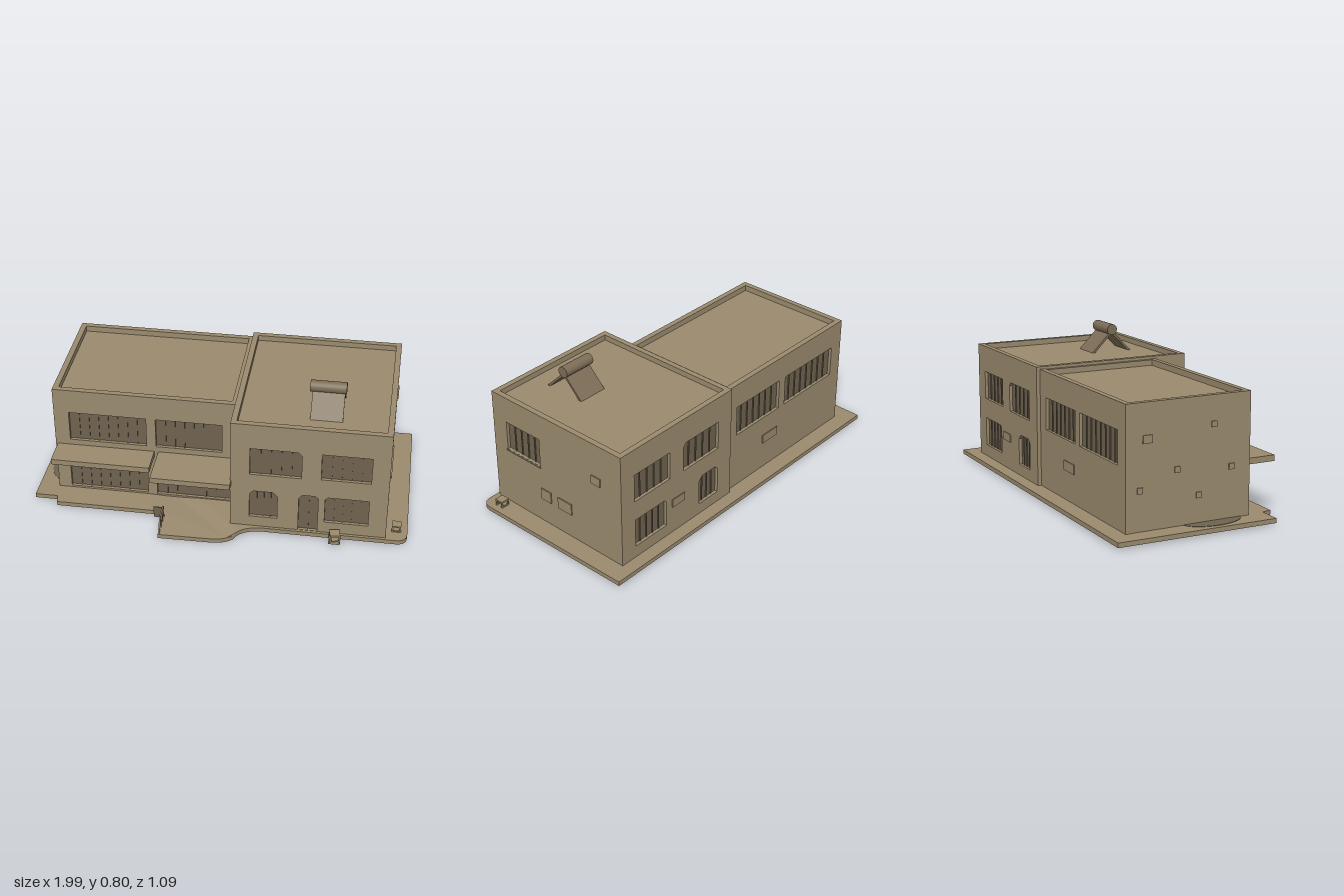
import * as THREE from 'three';

const wallMat = new THREE.MeshStandardMaterial({ color: 0x9a8a6e });
const glassMat = new THREE.MeshStandardMaterial({ color: 0x6f634f });
const signMat = new THREE.MeshStandardMaterial({ color: 0x7c6d56 });
wallMat.name = 'tan plaster';
glassMat.name = 'dark glass';
signMat.name = 'brown board';

const T = 0.03; // wall thickness
const BASE = 0.03; // top of the ground slab

function add(parent, name, geo, mat, x = 0, y = 0, z = 0) {
  const m = new THREE.Mesh(geo, mat);
  m.name = name;
  m.position.set(x, y, z);
  parent.add(m);
  return m;
}

// box given by its limits on each axis
function block(parent, name, mat, x0, x1, y0, y1, z0, z1) {
  return add(parent, name, new THREE.BoxGeometry(x1 - x0, y1 - y0, z1 - z0), mat,
    (x0 + x1) / 2, (y0 + y1) / 2, (z0 + z1) / 2);
}

// square bar between two points
function bar(parent, name, a, b, r = 0.004, mat = wallMat) {
  const p = new THREE.Vector3(...a), q = new THREE.Vector3(...b);
  const m = add(parent, name, new THREE.BoxGeometry(2 * r, p.distanceTo(q), 2 * r), mat);
  m.position.copy(p).lerp(q, 0.5);
  m.quaternion.setFromUnitVectors(new THREE.Vector3(0, 1, 0), q.sub(p).normalize());
}

// opening: limits, corner cuts at the top left and right, and number of panes
const hole = (u0, u1, v0, v1, panes = 4, cutL = 0, cutR = 0) => ({ u0, u1, v0, v1, panes, cutL, cutR });
const flip = (h) => hole(-h.u1, -h.u0, h.v0, h.v1, h.panes, h.cutR, h.cutL);

function outline(h, PathType) {
  const p = new PathType();
  p.moveTo(h.u0, h.v0);
  p.lineTo(h.u1, h.v0);
  p.lineTo(h.u1, h.v1 - h.cutR);
  if (h.cutR) p.lineTo(h.u1 - h.cutR, h.v1);
  p.lineTo(h.u0 + h.cutL, h.v1);
  if (h.cutL) p.lineTo(h.u0, h.v1 - h.cutL);
  p.closePath();
  return p;
}

// wall with recessed windows; its outer face lies at local z = 0
function facade(parent, name, u0, u1, top, holes, x, z, turn) {
  const g = new THREE.Group();
  g.name = name;
  const shape = outline(hole(u0, u1, BASE, top), THREE.Shape);
  shape.holes = holes.map((h) => outline(h, THREE.Path));
  add(g, 'wall', new THREE.ExtrudeGeometry(shape, { depth: T, bevelEnabled: false }), wallMat, 0, 0, -T);
  for (const h of holes) {
    add(g, 'windowGlass', new THREE.ShapeGeometry(outline(h, THREE.Shape)), glassMat, 0, 0, -0.017);
    for (let i = 1; i < h.panes; i++) {
      const u = h.u0 + ((h.u1 - h.u0) * i) / h.panes;
      block(g, 'mullion', glassMat, u - 0.003, u + 0.003, h.v0, h.v1 - Math.max(h.cutL, h.cutR) * 0.5, -0.018, -0.012);
    }
  }
  g.position.set(x, 0, z);
  g.rotation.y = turn;
  parent.add(g);
  return g;
}

// shallow vent plates on a wall, [u0, u1, v0, v1]
function vents(wall, list) {
  for (const [a, b, c, d] of list) block(wall, 'ventPlate', wallMat, a, b, c, d, -0.002, 0.006);
}

// small open stool made of bars
function stool(parent, name, x, y, z, w, h, turn) {
  const g = new THREE.Group();
  g.name = name;
  const r = w / 2;
  for (const sx of [-r, r]) for (const sz of [-r, r]) bar(g, 'leg', [sx, 0, sz], [sx, h, sz]);
  block(g, 'seat', wallMat, -r - 0.004, r + 0.004, h - 0.006, h + 0.003, -r - 0.004, r + 0.004);
  for (const s of [-r, r]) bar(g, 'footBar', [-r, 0.006, s], [r, 0.006, s]);
  g.position.set(x, y, z);
  g.rotation.y = turn;
  parent.add(g);
}

export function createModel() {
  const model = new THREE.Group();
  model.name = 'building';

  // ground slab with curved porch (drawn in x, -z)
  const s = new THREE.Shape();
  s.moveTo(-0.99, 0.55);
  s.lineTo(-1.0, -0.31);
  s.lineTo(-0.88, -0.31);
  s.lineTo(-0.87, -0.36);
  s.lineTo(-0.29, -0.36);
  s.lineTo(-0.29, -0.54);
  s.lineTo(0.0, -0.535);
  s.bezierCurveTo(0.14, -0.52, 0.08, -0.43, 0.24, -0.42);
  s.lineTo(0.93, -0.42);
  s.quadraticCurveTo(0.99, -0.42, 0.99, -0.36);
  s.lineTo(0.98, 0.55);
  s.closePath();
  const slab = new THREE.ExtrudeGeometry(s, { depth: 0.024, bevelEnabled: false, curveSegments: 10 });
  slab.rotateX(-Math.PI / 2);
  slab.translate(0, 0.01, 0);
  // the slab falls towards the front of the porch
  const p = slab.attributes.position;
  for (let i = 0; i < p.count; i++) if (p.getZ(i) > 0.48) p.setY(i, p.getY(i) - 0.01);
  slab.computeVertexNormals();
  add(model, 'groundSlab', slab, wallMat);

  // dark patch beside the side wall
  const patch = add(model, 'darkPatch', new THREE.CylinderGeometry(1, 1, 0.004, 24, 1, false, Math.PI, Math.PI), glassMat, -0.88, 0.034, 0.01);
  patch.scale.set(0.09, 1, 0.16);

  // long wing
  const wing = new THREE.Group();
  wing.name = 'longWing';
  model.add(wing);
  const wingUpper = [hole(-0.81, -0.4, 0.35, 0.52, 8), hole(-0.35, 0, 0.35, 0.52, 7)];
  const wingLower = [hole(-0.82, -0.4, 0.045, 0.27, 8), hole(-0.35, 0.068, 0.04, 0.26, 8)];
  block(wing, 'roofCore', wallMat, -0.86, 0.08, BASE, 0.625, -0.43, 0.19);
  facade(wing, 'wingFront', -0.89, 0.08, 0.657, [...wingUpper, ...wingLower], 0, 0.22, 0);
  const wingBack = facade(wing, 'wingBack', -0.08, 0.89, 0.657, wingUpper.map(flip), 0, -0.46, Math.PI);
  vents(wingBack, [[0.22, 0.34, 0.19, 0.24]]);
  const wingSide = facade(wing, 'wingSide', -0.43, 0.19, 0.657, [], -0.89, 0, -Math.PI / 2);
  vents(wingSide, [[-0.37, -0.32, 0.46, 0.5], [-0.2, -0.17, 0.3, 0.33], [-0.4, -0.37, 0.22, 0.25],
    [0.0, 0.03, 0.5, 0.53], [0.1, 0.13, 0.28, 0.31], [-0.08, -0.05, 0.16, 0.19]]);
  block(wing, 'innerParapet', wallMat, 0.05, 0.08, 0.6, 0.655, -0.43, 0.19);

  // tall block
  const hall = new THREE.Group();
  hall.name = 'tallBlock';
  model.add(hall);
  const hallUpper = [hole(0.17, 0.435, 0.365, 0.525, 5, 0, 0.02), hole(0.535, 0.788, 0.37, 0.525, 5)];
  const hallLower = [hole(0.17, 0.315, 0.095, 0.26, 4, 0.02, 0.025), hole(0.56, 0.785, 0.1, 0.258, 5, 0.015, 0)];
  const door = hole(0.425, 0.525, 0.036, 0.26, 2, 0.02, 0.015);
  block(hall, 'roofCore', wallMat, 0.1, 0.85, BASE, 0.64, -0.45, 0.375);
  facade(hall, 'hallFront', 0.07, 0.88, 0.67, [...hallUpper, ...hallLower, door], 0, 0.405, 0);
  const hallBack = facade(hall, 'hallBack', -0.88, -0.07, 0.67, [...hallUpper, ...hallLower].map(flip), 0, -0.48, Math.PI);
  vents(hallBack, [[-0.52, -0.43, 0.19, 0.235]]);
  const hallSide = facade(hall, 'hallSide', -0.375, 0.45, 0.67, [hole(-0.31, -0.075, 0.365, 0.525, 5)], 0.88, 0, Math.PI / 2);
  vents(hallSide, [[0.285, 0.345, 0.44, 0.487], [-0.075, -0.005, 0.172, 0.235], [0.045, 0.14, 0.172, 0.235]]);
  block(hallSide, 'windowSill', wallMat, -0.315, -0.07, 0.357, 0.364, -0.002, 0.006);
  facade(hall, 'hallInnerSide', -0.45, 0.375, 0.67, [], 0.07, 0, -Math.PI / 2);

  // canopies over the ground floor
  block(model, 'longCanopy', wallMat, -0.88, -0.36, 0.287, 0.318, 0.2, 0.37);
  block(model, 'entranceCanopy', wallMat, -0.34, 0.075, 0.287, 0.318, 0.2, 0.452);

  // folding board on the roof
  const sign = new THREE.Group();
  sign.name = 'roofBoard';
  model.add(sign);
  for (const side of [-1, 1]) {
    const panel = add(sign, 'boardPanel', new THREE.BoxGeometry(0.165, 0.17, 0.012), signMat, 0.538, 0.693, 0.153 + side * 0.058);
    panel.rotation.x = -side * Math.PI / 4;
  }
  const roll = add(sign, 'boardRoll', new THREE.CylinderGeometry(0.03, 0.03, 0.185, 20), signMat, 0.535, 0.766, 0.15);
  roll.rotation.z = Math.PI / 2;

  // porch handrail
  const rail = new THREE.Group();
  rail.name = 'porchRail';
  model.add(rail);
  bar(rail, 'slopedRail', [-0.285, 0.02, 0.535], [-0.285, 0.1, 0.48]);
  bar(rail, 'topRail', [-0.285, 0.1, 0.485], [-0.285, 0.1, 0.4]);
  for (const z of [0.48, 0.44, 0.4]) bar(rail, 'railPost', [-0.285, 0.02, z], [-0.285, 0.1, z]);
  bar(rail, 'middleRail', [-0.285, 0.06, 0.505], [-0.285, 0.06, 0.4]);
  block(rail, 'railBox', glassMat, -0.335, -0.29, 0.03, 0.095, 0.4, 0.405);

  // small stools on the slab
  stool(model, 'frontStool', 0.62, 0.025, 0.45, 0.045, 0.045, 0.2);
  block(model, 'stoolStep', wallMat, 0.59, 0.65, 0.015, 0.03, 0.41, 0.475);
  stool(model, 'cornerStool', 0.932, 0.03, 0.327, 0.04, 0.038, 0);
  return model;
}
